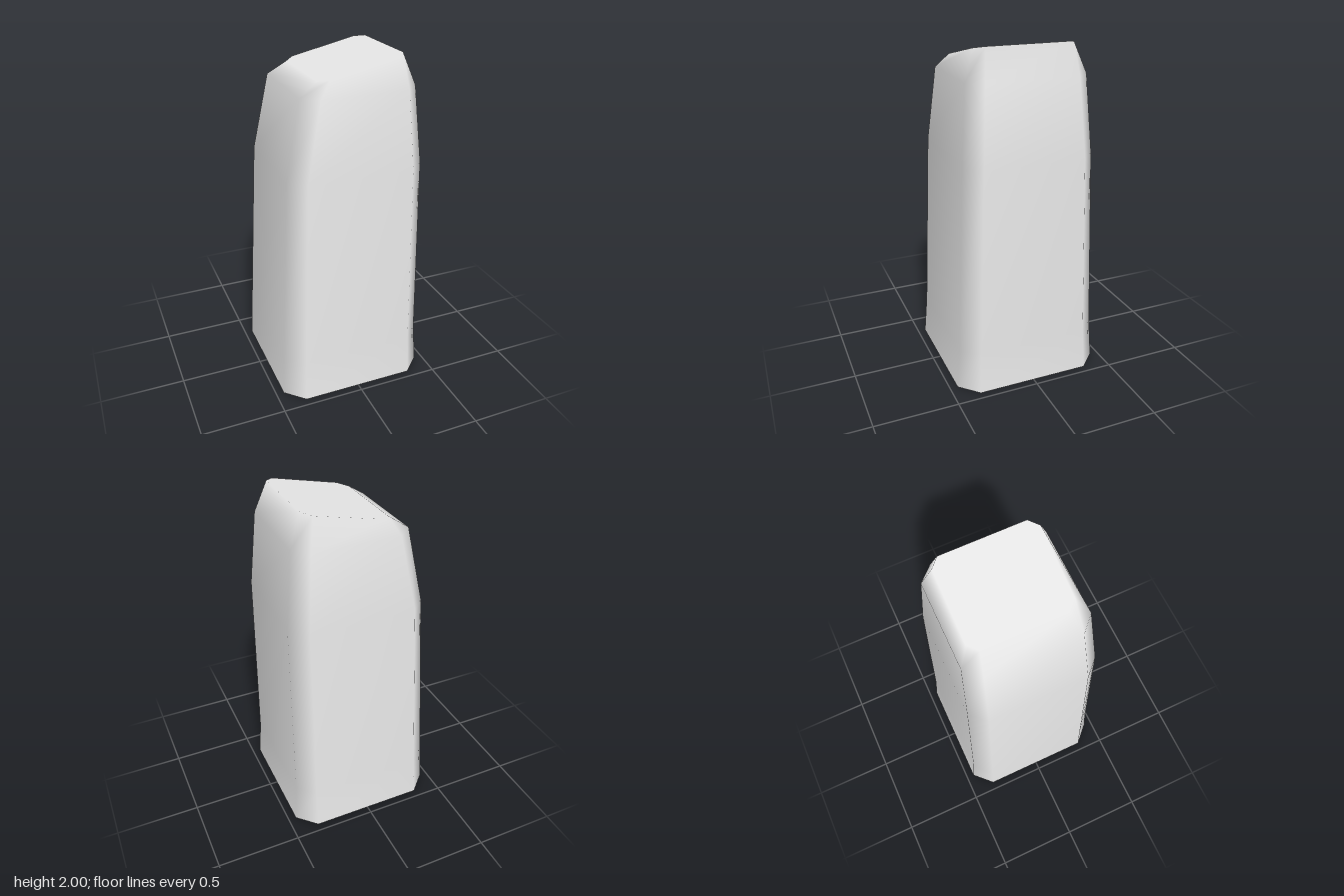
import * as THREE from 'three';

// Cross-sections from the ground up: x limits, half depth, where the
// corner cuts begin along x and z, the height at x = 0 and the tilt in x.
const sections = [
  { left: -0.453, right: 0.453, depth: 0.453, cutLeft: -0.345, cutRight: 0.345, cutDepth: 0.345, y: 0, tilt: 0 },
  { left: -0.441, right: 0.438, depth: 0.433, cutLeft: -0.335, cutRight: 0.342, cutDepth: 0.335, y: 0.25, tilt: 0 },
  { left: -0.381, right: 0.433, depth: 0.39, cutLeft: -0.29, cutRight: 0.34, cutDepth: 0.3, y: 1.37, tilt: 0 },
  { left: -0.287, right: 0.39, depth: 0.355, cutLeft: -0.2, cutRight: 0.31, cutDepth: 0.272, y: 1.82, tilt: 0 },
  { left: -0.178, right: 0.32, depth: 0.293, cutLeft: -0.125, cutRight: 0.27, cutDepth: 0.242, y: 1.93, tilt: 0.22 },
];

// Eight corners of one section, turning from +x towards +z
function ring(s) {
  return [
    [s.right, s.cutDepth], [s.cutRight, s.depth],
    [s.cutLeft, s.depth], [s.left, s.cutDepth],
    [s.left, -s.cutDepth], [s.cutLeft, -s.depth],
    [s.cutRight, -s.depth], [s.right, -s.cutDepth],
  ].map(([x, z]) => [x, s.y + s.tilt * x, z]);
}

function shellGeometry() {
  const positions = sections.flatMap(ring).flat();
  const index = [];
  // Side walls between neighbouring sections
  for (let r = 0; r < sections.length - 1; r++) {
    for (let i = 0; i < 8; i++) {
      const a = r * 8 + i;
      const b = r * 8 + (i + 1) % 8;
      index.push(b, a, a + 8, b, a + 8, b + 8);
    }
  }
  // Sloping top face; the base stays open
  const top = (sections.length - 1) * 8;
  for (let k = 1; k < 7; k++) index.push(top, top + k + 1, top + k);

  const geometry = new THREE.BufferGeometry();
  geometry.setAttribute('position', new THREE.Float32BufferAttribute(positions, 3));
  geometry.setIndex(index);
  geometry.computeVertexNormals();

  // The top reads flat, with the rounding spread over the bevel below it
  const up = new THREE.Vector3(-sections.at(-1).tilt, 1, 0).normalize();
  for (let i = 0; i < 8; i++) geometry.attributes.normal.setXYZ(top + i, up.x, up.y, up.z);
  return geometry;
}

export function createModel() {
  const group = new THREE.Group();
  group.name = 'taperedBlock';
  const lightGrey = new THREE.MeshStandardMaterial({ color: 0xe7e7e7, side: THREE.DoubleSide });
  lightGrey.name = 'light grey';
  const shell = new THREE.Mesh(shellGeometry(), lightGrey);
  shell.name = 'shell';
  group.add(shell);
  return group;
}
